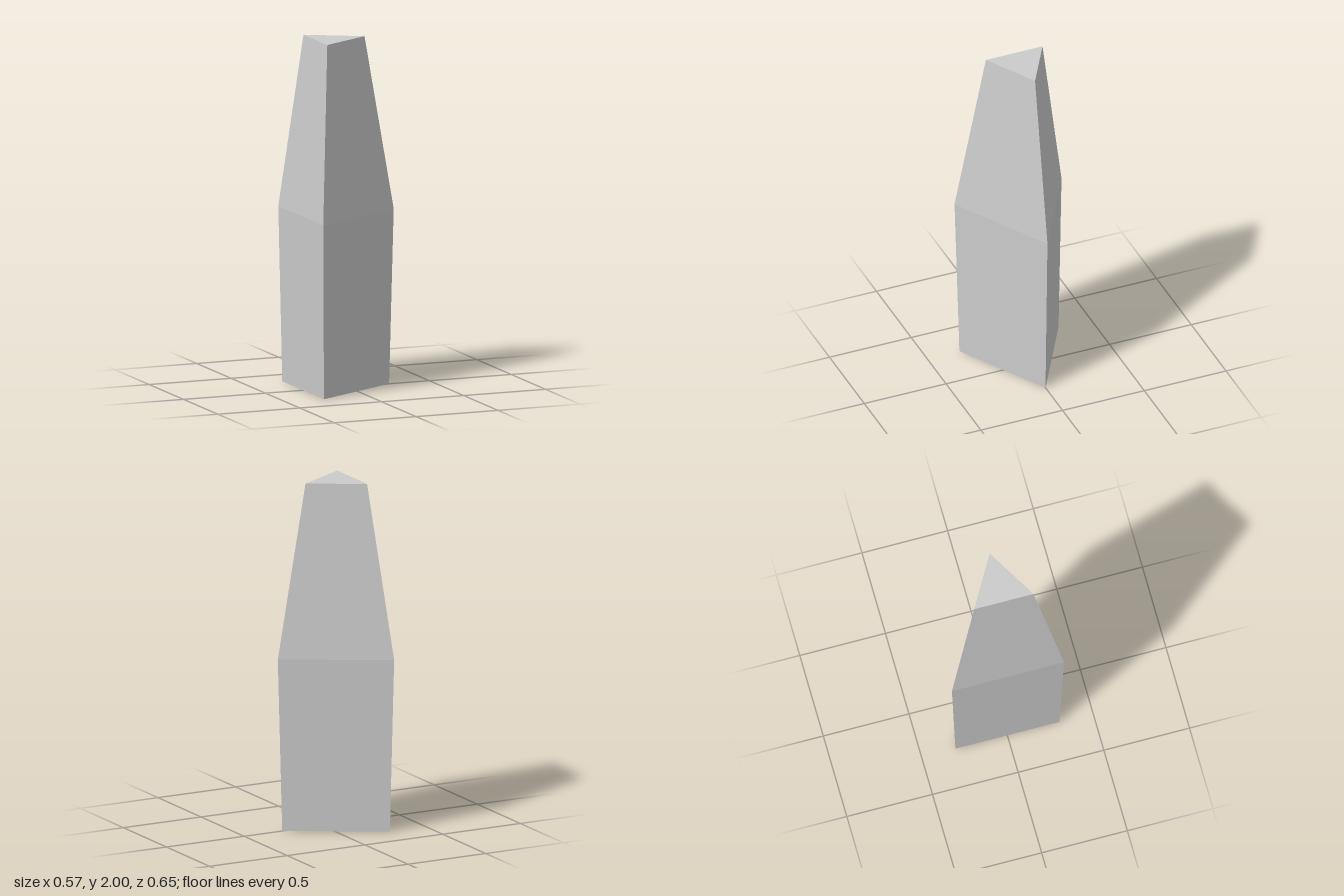
import * as THREE from 'three';

export function createModel() {
  const group = new THREE.Group();
  group.name = 'triangularPillar';

  // Closed profile (radius, height), bottom to top, swept in three flat sides
  const profile = [[0, 0], [0.35, 0], [0.378, 1], [0.2, 2], [0, 2]]
    .map(([r, y]) => new THREE.Vector2(r, y));
  const geometry = new THREE.LatheGeometry(profile, 3, Math.PI / 2);

  const body = new THREE.Mesh(
    geometry,
    new THREE.MeshStandardMaterial({ color: 0xcccccc, flatShading: true })
  );
  body.name = 'taperedBody';
  // The triangle's centre sits left of its bounding box centre
  body.position.x = -0.095;
  group.add(body);

  return group;
}
